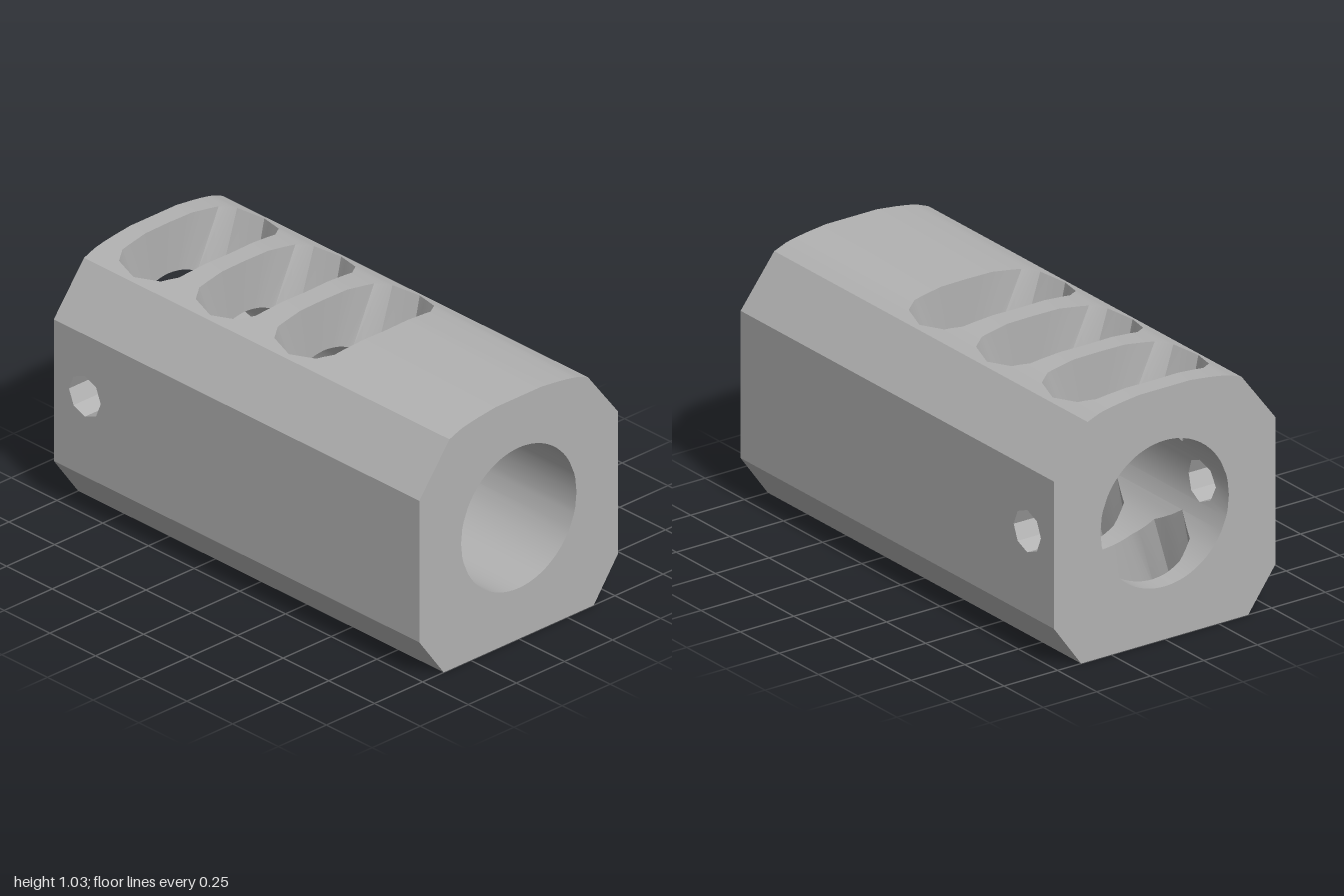
import * as THREE from 'three';
import { toCreasedNormals } from 'three/addons/utils/BufferGeometryUtils.js';

const CY = 0.517, R = 0.3, HALF_W = 0.517;
const SLOT_Z = [-0.75, -0.33, 0.1], PIN_Z = [-0.83], PIN_R = 0.087;

// Half profile of the crowned top: x, y
const CROWN = [[0, 1.034], [0.12, 1.034], [0.23, 1.021], [0.3, 1.008], [0.36, 0.985]];
// Flared slot outline: x at the bore, x at the outside, half length in z
const SLOT = [[0, 0, 0.169], [0.07, 0.12, 0.166], [0.14, 0.25, 0.155], [0.217, 0.307, 0.114], [0.265, 0.34, 0]];

function crownY(x) {
  const a = Math.abs(x);
  let i = 1;
  while (i < CROWN.length - 1 && a > CROWN[i][0]) i++;
  const [x0, y0] = CROWN[i - 1], [x1, y1] = CROWN[i];
  return y0 + (y1 - y0) * (a - x0) / (x1 - x0);
}

// Slot stations from +x to -x, each { xi, xo, h }
function slotStations() {
  const half = [], steps = 3;
  for (let i = 0; i < SLOT.length - 1; i++) {
    for (let k = 0; k < steps; k++) {
      half.push(SLOT[i].map((v, j) => v + (SLOT[i + 1][j] - v) * k / steps));
    }
  }
  half.push(SLOT[SLOT.length - 1]);
  const left = half.slice().reverse();
  const right = half.slice(1).map(([a, b, h]) => [-a, -b, h]);
  return [...left, ...right].map(([xi, xo, h]) => ({ xi, xo, h }));
}

function quad(out, a, b, c, d) {
  out.push(...a, ...b, ...c, ...a, ...c, ...d);
}

// Long surface swept along z through stations { p: [x, y], h }, leaving a hole of half length h at each centre
function sheet(out, stations, centres = []) {
  for (let i = 0; i < stations.length - 1; i++) {
    const s = stations[i], t = stations[i + 1];
    const bounds = (h) => [-1, ...centres.flatMap((c) => [c - h, c + h]), 1];
    const bs = bounds(s.h || 0), bt = bounds(t.h || 0);
    for (let k = 0; k < bs.length; k += 2) {
      quad(out, [...s.p, bs[k]], [...t.p, bt[k]], [...t.p, bt[k + 1]], [...s.p, bs[k + 1]]);
    }
  }
}

// Walls joining a hole in the outside to the matching hole in the bore
function walls(out, outer, inner, centres) {
  for (const c of centres) {
    for (let i = 0; i < outer.length - 1; i++) {
      const h0 = outer[i].h, h1 = outer[i + 1].h;
      const at = (list, j, z) => [...list[j].p, z];
      quad(out, at(outer, i, c - h0), at(outer, i + 1, c - h1), at(inner, i + 1, c - h1), at(inner, i, c - h0));
      quad(out, at(inner, i, c + h0), at(inner, i + 1, c + h1), at(outer, i + 1, c + h1), at(outer, i, c + h0));
    }
  }
}

function toMesh(name, positions, material) {
  const g = new THREE.BufferGeometry();
  g.setAttribute('position', new THREE.Float32BufferAttribute(positions, 3));
  const mesh = new THREE.Mesh(toCreasedNormals(g, 0.42), material);
  mesh.name = name;
  return mesh;
}

export function createModel() {
  const group = new THREE.Group();
  group.name = 'portedBarrelBlock';
  const metal = new THREE.MeshStandardMaterial({ color: 0xb2b2b2 });
  metal.name = 'greyMetal';

  // Slot edges, top and bottom
  const slots = slotStations();
  const bored = (x, sign) => [sign * x, CY + sign * Math.sqrt(R * R - x * x)];
  const topOuter = slots.map(({ xo, h }) => ({ p: [xo, crownY(xo)], h }));
  const bottomOuter = slots.map(({ xo, h }) => ({ p: [-xo, 0], h }));
  const topInner = slots.map(({ xi, h }) => ({ p: bored(xi, 1), h }));
  const bottomInner = slots.map(({ xi, h }) => ({ p: bored(xi, -1), h }));

  // Octagonal pin hole edges, left (+x) and right
  const pins = [-1, -Math.SQRT1_2, 0, Math.SQRT1_2, 1].map((v) => ({ y: v * PIN_R, h: PIN_R * Math.sqrt(1 - v * v) }));
  const pinEdge = (sign, xOf) => pins.map(({ y, h }) => ({ p: [sign * xOf(y), CY + sign * y], h }));
  const onSide = () => HALF_W, onBore = (y) => Math.sqrt(R * R - y * y);
  const leftOuter = pinEdge(1, onSide), rightOuter = pinEdge(-1, onSide);
  const leftInner = pinEdge(1, onBore), rightInner = pinEdge(-1, onBore);

  // Outer shell, counterclockwise seen from the front
  const pt = (x, y) => ({ p: [x, y], h: 0 });
  const shell = [];
  sheet(shell, [pt(HALF_W, 0.175), ...leftOuter, pt(HALF_W, 0.78)], PIN_Z);
  sheet(shell, [pt(HALF_W, 0.78), pt(0.36, 0.985)]);
  sheet(shell, [pt(0.36, 0.985), ...topOuter, pt(-0.36, 0.985)], SLOT_Z);
  sheet(shell, [pt(-0.36, 0.985), pt(-HALF_W, 0.78)]);
  sheet(shell, [pt(-HALF_W, 0.78), ...rightOuter, pt(-HALF_W, 0.175)], PIN_Z);
  sheet(shell, [pt(-HALF_W, 0.175), pt(-0.39, 0)]);
  sheet(shell, [pt(-0.39, 0), ...bottomOuter, pt(0.39, 0)], SLOT_Z);
  sheet(shell, [pt(0.39, 0), pt(HALF_W, 0.175)]);
  group.add(toMesh('outerShell', shell, metal));

  // Bore, facing inward
  const ring = [[leftInner, PIN_Z], [topInner, SLOT_Z], [rightInner, PIN_Z], [bottomInner, SLOT_Z]];
  const bore = [];
  ring.forEach(([arc, centres], i) => {
    const next = ring[(i + 1) % 4][0];
    sheet(bore, arc.slice().reverse(), centres);
    sheet(bore, [next[0], arc[arc.length - 1]].map((s) => ({ p: s.p, h: 0 })));
  });
  group.add(toMesh('bore', bore, metal));

  // Slot and pin hole walls
  const slotWalls = [], pinWalls = [];
  walls(slotWalls, topOuter, topInner, SLOT_Z);
  walls(slotWalls, bottomOuter, bottomInner, SLOT_Z);
  walls(pinWalls, leftOuter, leftInner, PIN_Z);
  walls(pinWalls, rightOuter, rightInner, PIN_Z);
  group.add(toMesh('slotWalls', slotWalls, metal), toMesh('pinHoleWalls', pinWalls, metal));

  // End faces with the bore opening
  const v2 = ({ p }) => new THREE.Vector2(p[0], p[1]);
  const outline = [pt(0.39, 0), pt(HALF_W, 0.175), pt(HALF_W, 0.78), pt(0.36, 0.985), ...topOuter,
    pt(-0.36, 0.985), pt(-HALF_W, 0.78), pt(-HALF_W, 0.175), pt(-0.39, 0)];
  const shape = new THREE.Shape(outline.map(v2));
  shape.holes.push(new THREE.Path(ring.flatMap(([arc]) => arc).map(v2).reverse()));
  const face = new THREE.ShapeGeometry(shape);
  const front = new THREE.Mesh(face, metal);
  front.name = 'frontFace';
  front.position.z = 1;
  const back = new THREE.Mesh(face, metal);
  back.name = 'backFace';
  back.rotation.y = Math.PI;
  back.position.z = -1;
  group.add(front, back);
  return group;
}
